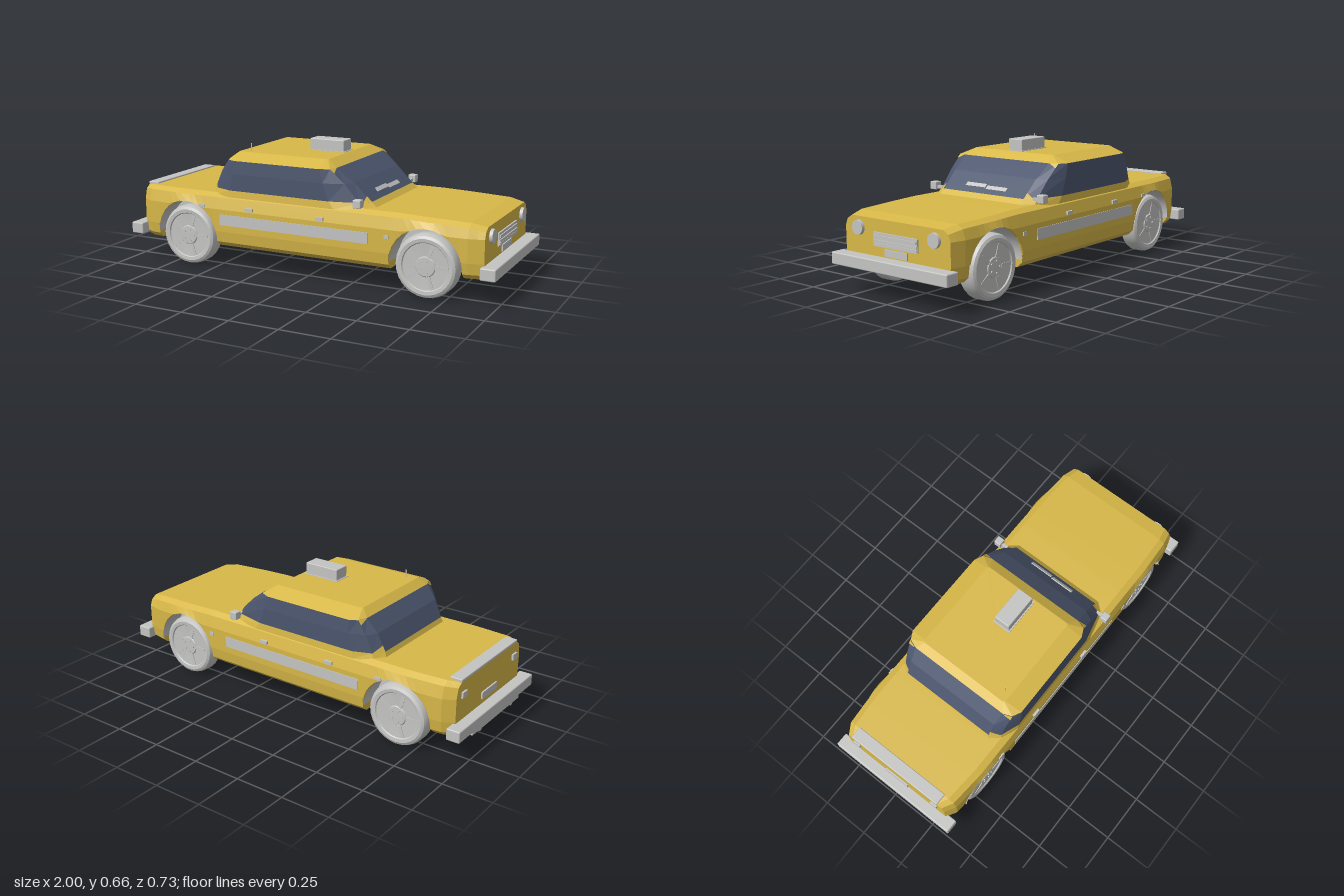
import * as THREE from 'three';
import { toCreasedNormals } from 'three/addons/utils/BufferGeometryUtils.js';
import { RoundedBoxGeometry } from 'three/addons/geometries/RoundedBoxGeometry.js';

const paint = new THREE.MeshStandardMaterial({ color: 0xd8b848 });
paint.name = 'yellow paint';
const metal = new THREE.MeshStandardMaterial({ color: 0xc4c4c3, side: THREE.DoubleSide });
metal.name = 'light grey';
const glass = new THREE.MeshStandardMaterial({ color: 0x4c566e });
glass.name = 'dark blue glass';

const WHEEL_X = 0.655, ARCH_Y = 0.16, ARCH_R = 0.18, FLOOR = 0.12;

// Piecewise linear lookup in a list of [x, value]
function lerpTable(table, x) {
  for (let i = 1; i < table.length; i++) {
    const [x0, v0] = table[i - 1], [x1, v1] = table[i];
    if (x <= x1) return v0 + (v1 - v0) * Math.max(0, (x - x0) / (x1 - x0));
  }
  return table[table.length - 1][1];
}

// Skins half rings (z > 0) mirrored across z; flat shaded, with optional end caps
function loft(halfRings, capStart, capEnd) {
  const rings = halfRings.map(h => [...h, ...h.map(([x, y, z]) => [x, y, -z]).reverse()]);
  const pos = [];
  const tri = (a, b, c) => pos.push(...a, ...b, ...c);
  for (let i = 0; i + 1 < rings.length; i++) {
    const a = rings[i], b = rings[i + 1], n = a.length;
    for (let j = 0; j < n; j++) {
      const k = (j + 1) % n;
      tri(a[j], a[k], b[k]);
      tri(a[j], b[k], b[j]);
    }
  }
  const first = rings[0], last = rings[rings.length - 1];
  for (let j = 1; j + 1 < first.length; j++) {
    if (capStart) tri(first[0], first[j + 1], first[j]);
    if (capEnd) tri(last[0], last[j], last[j + 1]);
  }
  const g = new THREE.BufferGeometry();
  g.setAttribute('position', new THREE.Float32BufferAttribute(pos, 3));
  g.computeVertexNormals();
  return g;
}

// Body cross-section at x, with its side cut up to height low by the wheel arch
function bodySection(x, low) {
  const w = lerpTable([[-0.945, 0.86], [-0.89, 0.955], [-0.7, 1], [0.65, 1], [0.86, 0.97], [0.935, 0.92]], x);
  const top = lerpTable([[-0.945, 0.385], [-0.9, 0.392], [0.5, 0.392], [0.86, 0.38], [0.935, 0.365]], x);
  return [
    [x, top, 0.31 * w], [x, top - 0.018, 0.342 * w],
    [x, Math.max(0.315, low), 0.357 * w], [x, Math.max(0.2, low), 0.356 * w],
    [x, Math.max(0.145, low), 0.348 * w], [x, low, 0.32 * w],
    [x, low, 0.23], [x, FLOOR, 0.23],
  ];
}

function bodyGeometry() {
  const sections = [-0.945, -0.93, -0.89].map(x => bodySection(x, FLOOR));
  for (const cx of [-WHEEL_X, WHEEL_X]) {
    sections.push(bodySection(cx - ARCH_R, FLOOR));
    for (let i = 0; i <= 14; i++) {
      const a = Math.PI * (1 - i / 14);
      sections.push(bodySection(cx + ARCH_R * Math.cos(a), ARCH_Y + ARCH_R * Math.sin(a)));
    }
    sections.push(bodySection(cx + ARCH_R, FLOOR));
  }
  for (const x of [0.86, 0.905, 0.935]) sections.push(bodySection(x, FLOOR));
  return loft(sections, true, true);
}

// Cabin ring at height y: rear and front ends, corner depths and half widths
function cabinRing(y, rear, front, rearCut, frontCut, end, mid, side) {
  return [
    [rear, y, end], [rear + rearCut * 0.3, y, mid], [rear + rearCut, y, side],
    [front - frontCut, y, side], [front - frontCut * 0.22, y, mid], [front, y, end],
  ];
}

export function createModel() {
  const car = new THREE.Group();
  car.name = 'car';
  const add = (name, geo, mat, x = 0, y = 0, z = 0, parent = car) => {
    const m = new THREE.Mesh(geo, mat);
    m.name = name;
    m.position.set(x, y, z);
    parent.add(m);
    return m;
  };
  // Box given by its extents
  const box = (name, x0, x1, y0, y1, z0, z1, mat = metal, r = 0) => {
    const s = [x1 - x0, y1 - y0, z1 - z0];
    const g = r ? new RoundedBoxGeometry(...s, 2, r) : new THREE.BoxGeometry(...s);
    return add(name, g, mat, (x0 + x1) / 2, (y0 + y1) / 2, (z0 + z1) / 2);
  };

  add('body', bodyGeometry(), paint);

  // Cabin: painted sill, glass band, painted roof
  const sill = cabinRing(0.38, -0.545, 0.385, 0.14, 0.2, 0.26, 0.31, 0.343);
  const glassLow = cabinRing(0.415, -0.53, 0.345, 0.13, 0.19, 0.255, 0.305, 0.34);
  const glassMid = cabinRing(0.5, -0.49, 0.255, 0.11, 0.13, 0.26, 0.31, 0.341);
  const glassTop = cabinRing(0.567, -0.435, 0.165, 0.06, 0.06, 0.27, 0.315, 0.337);
  const roofEdge = cabinRing(0.601, -0.395, 0.11, 0.01, 0.01, 0.24, 0.246, 0.25);
  add('cabinSill', loft([sill, glassLow]), paint);
  add('windows', loft([glassLow, glassMid, glassTop]), glass);
  add('roof', loft([glassTop, roofEdge], false, true), paint);

  // Painted notches at the corners of the glass
  const notch = (a, b, c) => {
    const g = new THREE.BufferGeometry();
    const out = p => [p[0] * 1.006, p[1] + 0.001, p[2] * 1.006];
    const m = p => [p[0], p[1], -p[2]];
    const pts = [a, b, c].map(out);
    g.setAttribute('position', new THREE.Float32BufferAttribute(
      [...pts.flat(), ...[pts[2], pts[1], pts[0]].map(m).flat()], 3));
    g.computeVertexNormals();
    add('pillarNotch', g, paint);
  };
  const mix = (p, q, t) => p.map((v, i) => v + (q[i] - v) * t);
  notch(mix(glassLow[4], glassLow[5], 0.3), glassLow[5], mix(glassLow[5], glassMid[5], 0.3));
  notch(mix(glassTop[4], glassMid[4], 0.3), glassTop[5], glassTop[4]);
  notch(glassLow[0], glassLow[1], mix(glassLow[0], glassMid[0], 0.35));
  notch(glassTop[1], glassTop[0], mix(glassTop[1], glassMid[1], 0.35));

  // Wheels and arch liners
  const wheelProfile = [[0, -0.045], [0.125, -0.049], [0.147, -0.042], [0.155, -0.025], [0.155, 0.025],
    [0.148, 0.042], [0.135, 0.049], [0.118, 0.047], [0.114, 0.041], [0.05, 0.039], [0.046, 0.044], [0, 0.045]];
  const wheelGeo = toCreasedNormals(new THREE.LatheGeometry(
    wheelProfile.map(p => new THREE.Vector2(...p)), 28), 0.5).rotateX(Math.PI / 2);
  const linerGeo = new THREE.CylinderGeometry(0.177, 0.177, 0.115, 20, 1, true, Math.PI / 2, Math.PI).rotateX(Math.PI / 2);
  const linerWall = new THREE.CircleGeometry(0.177, 20, 0, Math.PI);
  const boltGeo = new THREE.CylinderGeometry(0.006, 0.006, 0.006, 8).rotateX(Math.PI / 2);
  for (const x of [-WHEEL_X, WHEEL_X]) for (const s of [1, -1]) {
    const wheel = new THREE.Group();
    wheel.name = 'wheel';
    wheel.position.set(x, 0.155, s * 0.295);
    if (s < 0) wheel.rotation.y = Math.PI;
    add('tyre', wheelGeo, metal, 0, 0, 0, wheel);
    for (let i = 0; i < 5; i++) {
      const a = i * Math.PI * 0.4;
      add('wheelBolt', boltGeo, metal, 0.03 * Math.cos(a), 0.03 * Math.sin(a), 0.046, wheel);
      const spoke = add('spoke', new THREE.BoxGeometry(0.065, 0.018, 0.006), metal,
        0.08 * Math.cos(a), 0.08 * Math.sin(a), 0.04, wheel);
      spoke.rotation.z = a;
    }
    car.add(wheel);
    add('archLiner', linerGeo, metal, x, ARCH_Y, s * 0.291);
    add('archWall', linerWall, metal, x, ARCH_Y, s * 0.234);
  }

  // Bumpers, exhausts and boot lip
  box('frontBumper', 0.925, 1, 0.133, 0.192, -0.363, 0.363, metal, 0.006);
  box('rearBumper', -1, -0.93, 0.133, 0.192, -0.363, 0.363, metal, 0.006);
  box('rearBumperSkirt', -0.995, -0.94, 0.115, 0.135, -0.23, 0.23);
  box('bootLip', -0.948, -0.885, 0.385, 0.4, -0.27, 0.27, metal, 0.004);
  const pipe = new THREE.CylinderGeometry(0.016, 0.016, 0.08, 12).rotateZ(Math.PI / 2);

  // Nose
  box('grille', 0.92, 0.943, 0.24, 0.305, -0.138, 0.138);
  for (const y of [0.249, 0.263, 0.285]) box('grilleSlat', 0.943, 0.948, y - 0.005, y + 0.008, -0.134, 0.134);
  box('frontPlate', 0.93, 0.941, 0.199, 0.232, -0.071, 0.071);
  box('rearPlate', -0.953, -0.94, 0.22, 0.255, -0.071, 0.071);
  const lamp = new THREE.CylinderGeometry(0.034, 0.036, 0.025, 24).rotateZ(-Math.PI / 2);

  // Paired details
  for (const s of [1, -1]) {
    const pair = (name, x0, x1, y0, y1, z0, z1, r) =>
      box(name, x0, x1, y0, y1, Math.min(s * z0, s * z1), Math.max(s * z0, s * z1), metal, r);
    add('exhaust', pipe, metal, -0.955, 0.122, s * 0.154);
    add('headlight', lamp, metal, 0.938, 0.313, s * 0.238);
    pair('tailLight', -0.955, -0.935, 0.305, 0.335, 0.225, 0.265);
    pair('sideStripe', -0.45, 0.37, 0.235, 0.29, 0.352, 0.36);
    pair('rearDoorHandle', -0.3, -0.257, 0.32, 0.337, 0.35, 0.364);
    pair('frontDoorHandle', 0.095, 0.137, 0.32, 0.337, 0.35, 0.364);
    pair('sideMarker', 0.453, 0.477, 0.272, 0.29, 0.35, 0.361);
    pair('fuelFlap', -0.575, -0.54, 0.318, 0.332, 0.35, 0.36);
    pair('mirror', 0.293, 0.333, 0.4, 0.44, 0.323, 0.362, 0.004);
    pair('mirrorArm', 0.305, 0.32, 0.407, 0.422, 0.29, 0.33);
    const wiper = add('wiper', new THREE.BoxGeometry(0.008, 0.022, 0.126), metal,
      s > 0 ? 0.312 : 0.317, s > 0 ? 0.447 : 0.441, s * 0.067);
    wiper.rotation.z = 0.8;
  }

  // Roof sign and aerial
  box('roofSign', -0.098, 0.092, 0.598, 0.66, -0.043, 0.043, metal, 0.004);
  box('roofSignBase', -0.105, 0.099, 0.598, 0.604, -0.05, 0.05);
  add('aerial', new THREE.CylinderGeometry(0.003, 0.003, 0.05, 8), metal, -0.342, 0.615, 0.215);
  return car;
}
